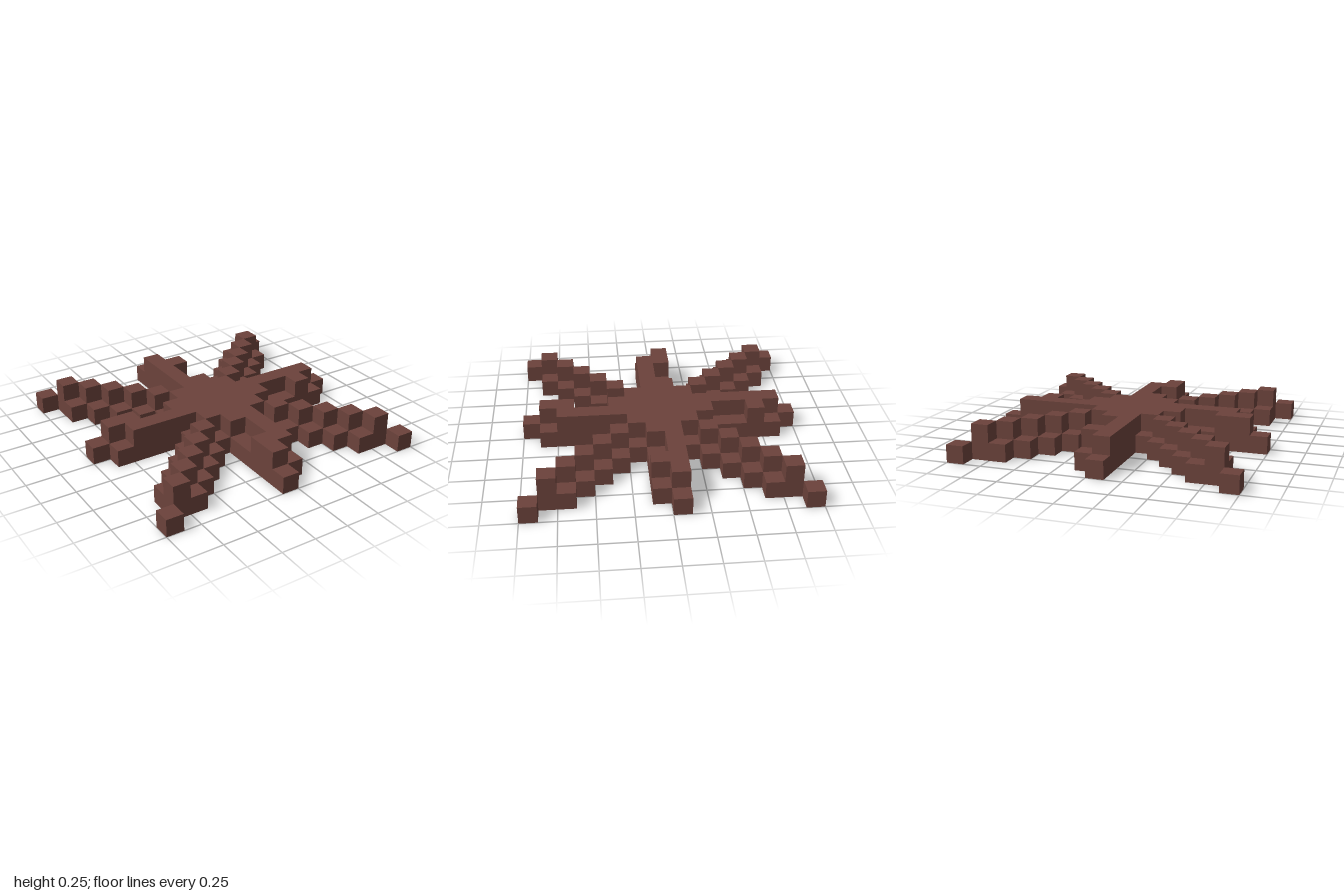
import * as THREE from 'three';

const CELL = 0.125; // the model sits on a 16 x 2 x 16 grid of cubes

export function createModel() {
  const model = new THREE.Group();
  model.name = 'blockStar';
  const brown = new THREE.MeshStandardMaterial({ color: 0x6b423b });
  brown.name = 'reddish brown';

  // Box covering grid cells x0..x1, z0..z1 (inclusive) and layers y0..y1
  function block(parent, name, x0, x1, z0, z1, y0, y1) {
    const [w, h, d] = [x1 - x0 + 1, y1 - y0 + 1, z1 - z0 + 1].map((n) => n * CELL);
    const mesh = new THREE.Mesh(new THREE.BoxGeometry(w, h, d), brown);
    mesh.position.set(x0 * CELL + w / 2 - 1, y0 * CELL + h / 2, z0 * CELL + d / 2 - 1);
    mesh.name = name;
    parent.add(mesh);
  }

  function part(name) {
    const group = new THREE.Group();
    group.name = name;
    model.add(group);
    return group;
  }

  // Centre: square base with a raised plus-shaped top
  const centre = part('centre');
  block(centre, 'centreBase', 5, 10, 5, 10, 0, 0);
  block(centre, 'centreTop', 6, 9, 6, 9, 1, 1);
  for (const k of [5, 10]) {
    block(centre, 'centreTopEdge', k, k, 7, 8, 1, 1);
    block(centre, 'centreTopEdge', 7, 8, k, k, 1, 1);
    for (const j of [5, 10]) block(centre, 'centreCorner', k, k, j, j, 1, 1);
  }

  // Diagonal arms: tall cubes on the diagonal, low cubes on both sides
  for (const flipX of [false, true]) {
    for (const flipZ of [false, true]) {
      const arm = part('diagonalArm');
      const cube = (name, i, j, top) => {
        const x = flipX ? 15 - i : i;
        const z = flipZ ? 15 - j : j;
        block(arm, name, x, x, z, z, 0, top);
      };
      cube('diagonalTip', 0, 0, 0);
      for (let k = 1; k <= 4; k++) {
        cube('diagonalRidge', k, k, 1);
        cube('diagonalStep', k, k + 1, 0);
        cube('diagonalStep', k + 1, k, 0);
      }
    }
  }

  // Straight arms: two lanes wide, with a raised rail on one lane and a raised crossbar
  const arms = [
    { alongX: true, flip: false, rail: 7 },
    { alongX: false, flip: true, rail: 7 },
    { alongX: true, flip: true, rail: 8 },
    { alongX: false, flip: false, rail: 8 },
  ];
  for (const { alongX, flip, rail } of arms) {
    const arm = part('straightArm');
    // u counts cells outward, lane is 7 or 8 across the arm
    const run = (name, u0, u1, lane0, lane1, layer) => {
      const [a, b] = flip ? [15 - u1, 15 - u0] : [u0, u1];
      if (alongX) block(arm, name, a, b, lane0, lane1, layer, layer);
      else block(arm, name, lane0, lane1, a, b, layer, layer);
    };
    run('armBase', 11, 14, 7, 8, 0);
    run('armTip', 15, 15, 7, 7, 0);
    run('armRail', 11, 12, rail, rail, 1);
    run('armCrossbar', 13, 13, 7, 8, 1);
    run('armEnd', 14, 14, 7, 7, 1);
  }

  return model;
}
